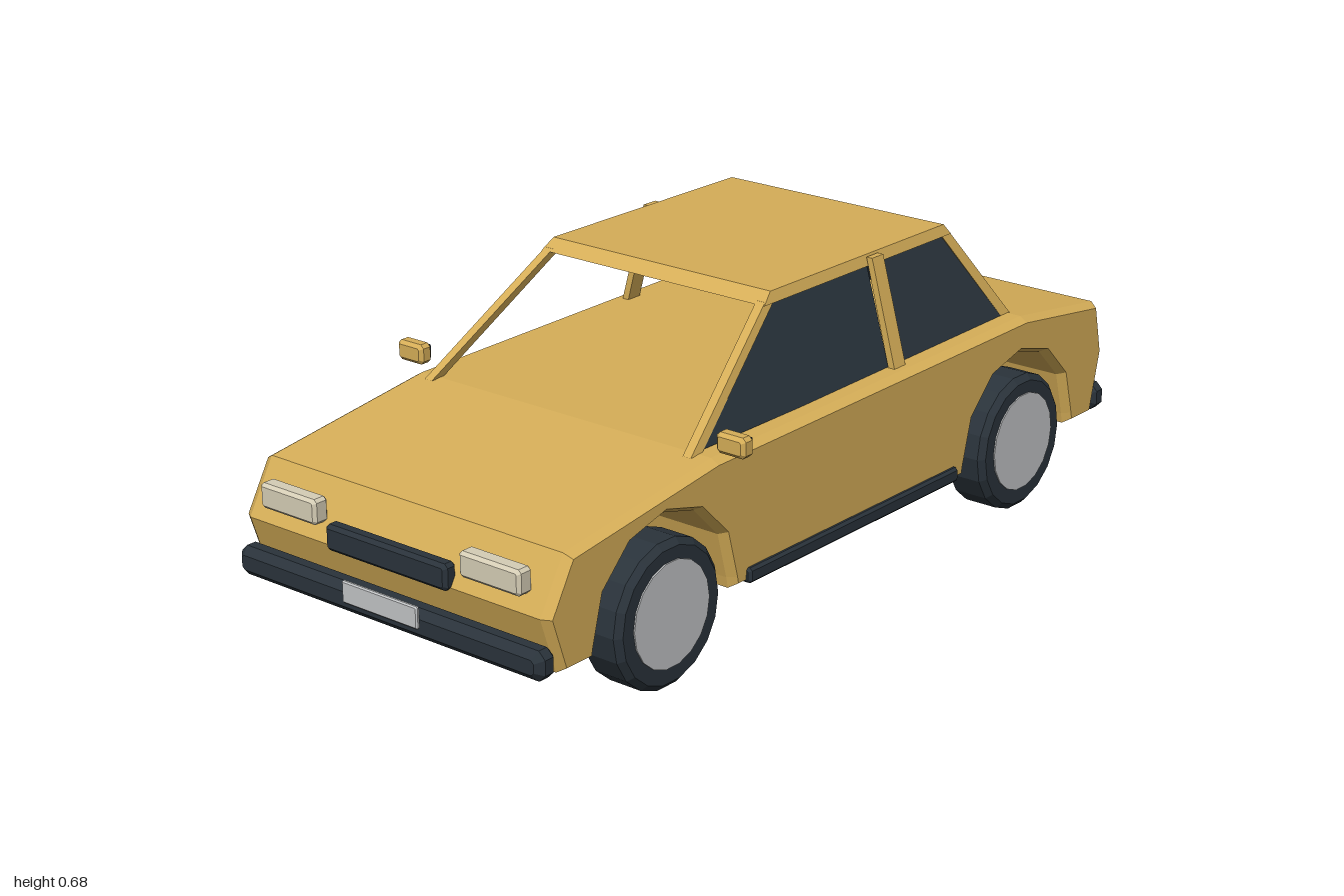
import * as THREE from 'three';

const mat = (name, color) => {
  const m = new THREE.MeshStandardMaterial({ color });
  m.name = name;
  return m;
};

export function createModel() {
  const car = new THREE.Group();
  car.name = 'car';
  const paint = mat('goldPaint', 0xd6ae58);
  const trim = mat('blackTrim', 0x2a333b);
  const glass = mat('darkGlass', 0x2b363f);
  const silver = mat('silver', 0xc2c4c6);
  const lamp = mat('lampLens', 0xd6ceb6);
  const red = mat('tailRed', 0xb02222);

  const add = (name, geometry, material, x = 0, y = 0, z = 0) => {
    const mesh = new THREE.Mesh(geometry, material);
    mesh.name = name;
    mesh.position.set(x, y, z);
    car.add(mesh);
    return mesh;
  };

  // Flat-shaded box with chamfered edges
  const chamferBox = (w, h, d, c) => {
    const x = w / 2, y = h / 2;
    const shape = new THREE.Shape([
      [x, c - y], [x, y - c], [x - c, y], [c - x, y],
      [-x, y - c], [-x, c - y], [c - x, -y], [x - c, -y],
    ].map(p => new THREE.Vector2(...p)));
    const g = new THREE.ExtrudeGeometry(shape, {
      depth: d - 2 * c, bevelThickness: c, bevelSize: c, bevelOffset: -c, bevelSegments: 1,
    });
    return g.translate(0, 0, c - d / 2);
  };

  // Box tapering from a bottom to a top rectangle, each [x0, x1, z0, z1]
  const taper = (y0, y1, bottom, top) => {
    const g = new THREE.BoxGeometry(1, 1, 1).toNonIndexed();
    const p = g.attributes.position;
    for (let i = 0; i < p.count; i++) {
      const up = p.getY(i) > 0, r = up ? top : bottom;
      p.setXYZ(i, r[p.getX(i) > 0 ? 1 : 0], up ? y1 : y0, r[p.getZ(i) > 0 ? 3 : 2]);
    }
    g.computeVertexNormals();
    return g;
  };
  const flip = ([x0, x1, z0, z1]) => [-x1, -x0, z0, z1];

  // Body: side profile with both wheel arches, extruded across the width
  const arch = zc => Array.from({ length: 7 }, (_, i) => {
    const a = Math.PI * (1 - i / 6);
    return [zc + 0.21 * Math.cos(a), 0.165 + 0.208 * Math.sin(a)];
  });
  const profile = [
    [-0.93, 0.14], [-0.835, 0.14], ...arch(-0.62), [-0.405, 0.14],
    [0.405, 0.14], ...arch(0.62), [0.835, 0.14],
    [0.925, 0.14], [0.967, 0.265], [0.9, 0.38], [0.46, 0.44],
    [-0.64, 0.453], [-0.94, 0.412], [-0.967, 0.29],
  ];
  const bodyShape = new THREE.Shape(profile.map(p => new THREE.Vector2(...p)));
  const body = new THREE.ExtrudeGeometry(bodyShape, {
    depth: 0.8, bevelThickness: 0.02, bevelSize: 0.012, bevelOffset: -0.012, bevelSegments: 1,
  });
  add('body', body.translate(0, 0, -0.4).rotateY(-Math.PI / 2), paint);

  // Roof and pillars
  add('roof', taper(0.664, 0.688, [-0.308, 0.308, -0.49, 0.175], [-0.3, 0.3, -0.472, 0.145]), paint);
  const pillars = [
    ['frontPillar', 0.67, [0.348, 0.369, 0.45, 0.485], [0.282, 0.304, 0.135, 0.168]],
    ['middlePillar', 0.684, [0.371, 0.388, -0.22, -0.18], [0.305, 0.32, -0.22, -0.18]],
    ['rearPillar', 0.67, [0.348, 0.369, -0.66, -0.625], [0.282, 0.304, -0.487, -0.455]],
  ];
  for (const [name, y, bottom, top] of pillars) {
    add(name + 'Left', taper(0.438, y, bottom, top), paint);
    add(name + 'Right', taper(0.438, y, flip(bottom), flip(top)), paint);
  }

  // Glass: rear window and the two left side windows
  add('rearWindow', taper(0.445, 0.666, [-0.352, 0.352, -0.657, -0.65], [-0.284, 0.284, -0.488, -0.481]), glass);
  add('frontSideWindow', taper(0.444, 0.666, [0.36, 0.366, -0.185, 0.455], [0.296, 0.302, -0.185, 0.14]), glass);
  add('rearSideWindow', taper(0.448, 0.666, [0.36, 0.366, -0.63, -0.215], [0.296, 0.302, -0.46, -0.215]), glass);

  // Wheels: chamfered tyre with a plain outer disc
  const tyrePoints = [[0, -0.053], [0.146, -0.053], [0.16, -0.04], [0.16, 0.04], [0.146, 0.053], [0, 0.053]]
    .map(p => new THREE.Vector2(...p));
  const tyre = new THREE.LatheGeometry(tyrePoints, 18).toNonIndexed();
  tyre.computeVertexNormals();
  tyre.rotateZ(Math.PI / 2);
  const disc = new THREE.CylinderGeometry(0.115, 0.115, 0.008, 18).rotateZ(Math.PI / 2);
  for (const s of [1, -1]) {
    const side = s > 0 ? 'Left' : 'Right';
    for (const [end, z] of [['front', 0.62], ['rear', -0.62]]) {
      add(end + 'Tyre' + side, tyre, trim, s * 0.378, 0.162, z);
      add(end + 'WheelDisc' + side, disc, silver, s * 0.43, 0.165, z);
    }
    // Sills, lamps and mirrors
    add('sill' + side, chamferBox(0.04, 0.034, 0.74, 0.006), trim, s * 0.411, 0.16, 0);
    add('headlight' + side, chamferBox(0.16, 0.055, 0.04, 0.007), lamp, s * 0.277, 0.327, 0.957);
    add('tailLight' + side, chamferBox(0.145, 0.052, 0.03, 0.006), red, s * 0.283, 0.347, -0.958);
    add('mirror' + side, chamferBox(0.074, 0.045, 0.036, 0.008), paint, s * 0.443, 0.473, 0.438);
    add('mirrorGlass' + side, new THREE.BoxGeometry(0.056, 0.03, 0.004), glass, s * 0.443, 0.473, 0.419);
  }

  // Bumpers, grille and plates
  add('frontBumper', chamferBox(0.84, 0.064, 0.055, 0.016), trim, 0, 0.173, 0.965);
  add('rearBumper', chamferBox(0.84, 0.064, 0.055, 0.016), trim, 0, 0.173, -0.963);
  add('grille', chamferBox(0.334, 0.057, 0.035, 0.008), trim, 0, 0.287, 0.964);
  add('frontPlate', chamferBox(0.208, 0.048, 0.01, 0.003), silver, 0, 0.193, 0.995);
  add('rearPlate', chamferBox(0.208, 0.048, 0.01, 0.003), silver, 0, 0.222, -0.995);

  return car;
}
